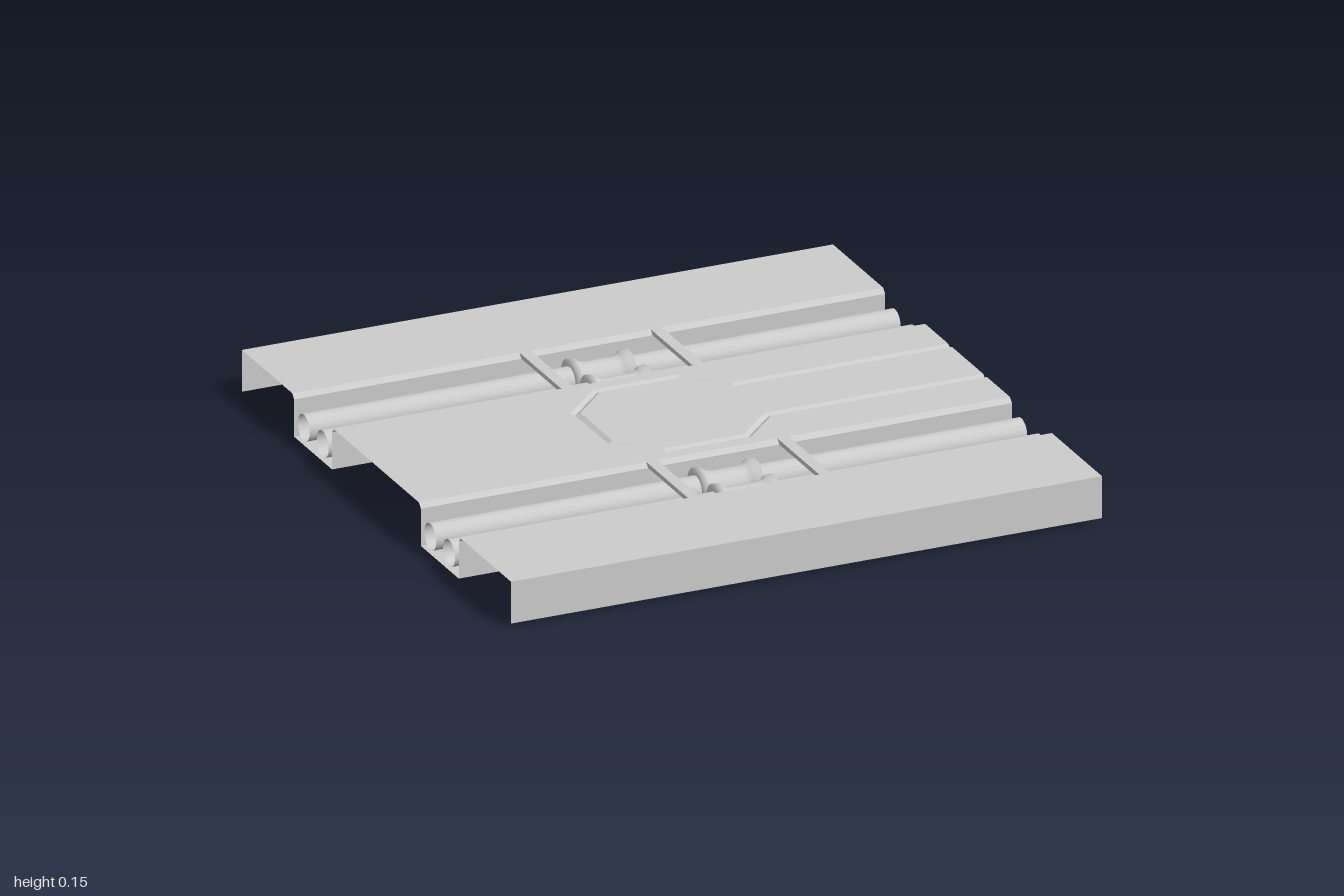
import * as THREE from 'three';

const material = new THREE.MeshStandardMaterial({ color: 0xcccccc, side: THREE.DoubleSide });
const TOP = 0.15, FLOOR = 0.01;

function add(parent, name, geometry) {
  const mesh = new THREE.Mesh(geometry, material);
  mesh.name = name;
  parent.add(mesh);
  return mesh;
}

// Flat-faced strip between two rows of [x, y, z] points
function strip(rowA, rowB) {
  const pos = [];
  for (let i = 0; i < rowA.length - 1; i++) {
    const [a, b, c, d] = [rowA[i], rowB[i], rowB[i + 1], rowA[i + 1]];
    pos.push(...a, ...b, ...c, ...a, ...c, ...d);
  }
  const g = new THREE.BufferGeometry();
  g.setAttribute('position', new THREE.Float32BufferAttribute(pos, 3));
  g.computeVertexNormals();
  return g;
}

// Folded sheet running the full width, from a [z, y] profile
function foldedSheet(profile) {
  return strip(profile.map(([z, y]) => [-1, y, z]), profile.map(([z, y]) => [1, y, z]));
}

// Horizontal panel from [x, z] corners
function panel(points, y) {
  const shape = new THREE.Shape(points.map(([x, z]) => new THREE.Vector2(x, -z)));
  return new THREE.ShapeGeometry(shape).rotateX(-Math.PI / 2).translate(0, y, 0);
}

// Octagon with an open corridor to +x, offset outward by d
function groovePath(d) {
  const k = d * Math.tan(Math.PI / 8);
  const half = [
    [1, 0.13 + d], [0.265 + k, 0.13 + d], [0.14 + k, 0.255 + d],
    [-0.14 - k, 0.255 + d], [-0.27 - d, 0.125 + k],
  ];
  return [...half, ...half.map(([x, z]) => [x, -z]).reverse()];
}

// Flared collar along x
function collarGeometry() {
  const half = [[0.043, 0.1], [0.068, 0.1], [0.066, 0.08], [0.056, 0.07], [0.05, 0.05]];
  const profile = [...half.map(([r, x]) => [r, -x]), ...half.reverse()];
  return new THREE.LatheGeometry(profile.map(p => new THREE.Vector2(...p)), 32).rotateZ(-Math.PI / 2);
}

export function createModel() {
  const model = new THREE.Group();
  model.name = 'floorPanel';

  // Outer deck, skirt and pipe channel, on both sides
  const profile = [
    [1, FLOOR], [1, TOP], [0.627, TOP], [0.612, 0.135], [0.612, FLOOR],
    [0.33, FLOOR], [0.33, 0.135], [0.315, TOP],
  ];
  add(model, 'leftDeckAndChannel', foldedSheet(profile));
  add(model, 'rightDeckAndChannel', foldedSheet(profile.map(([z, y]) => [-z, y]).reverse()));

  // Centre deck around the groove
  const outer = groovePath(0.014), inner = groovePath(-0.014);
  add(model, 'centreDeck', panel(
    [[1, 0.315], ...outer, [1, -0.315], [-1, -0.315], [-1, 0.315]], TOP));
  add(model, 'octagonDeck', panel(inner, TOP));

  // V-shaped groove
  const lift = (path, y) => path.map(([x, z]) => [x, y, z]);
  const bottom = lift(groovePath(0), TOP - 0.009);
  add(model, 'grooveOuterWall', strip(lift(outer, TOP), bottom));
  add(model, 'grooveInnerWall', strip(bottom, lift(inner, TOP)));

  // Crossbars, pipes and collars in each channel
  const barShape = new THREE.Shape([[0.315, TOP], [0.33, 0.135], [0.612, 0.135], [0.627, TOP]]
    .map(p => new THREE.Vector2(...p)));
  const bar = new THREE.ExtrudeGeometry(barShape, { depth: 0.038, bevelEnabled: false })
    .rotateY(-Math.PI / 2).translate(0.019, 0, 0);
  const pipe = new THREE.CylinderGeometry(0.044, 0.044, 2, 32, 1, true).rotateZ(Math.PI / 2);
  const collar = collarGeometry();

  for (const side of [1, -1]) {
    const channel = new THREE.Group();
    channel.name = side > 0 ? 'leftChannelFittings' : 'rightChannelFittings';
    channel.scale.z = side;
    model.add(channel);
    for (const x of [-0.212, 0.232]) add(channel, 'crossbar', bar).position.x = x;
    for (const z of [0.54, 0.4]) {
      add(channel, 'pipe', pipe).position.set(0, 0.068, z);
      add(channel, 'collar', collar).position.set(0, 0.068, z);
    }
  }
  return model;
}
